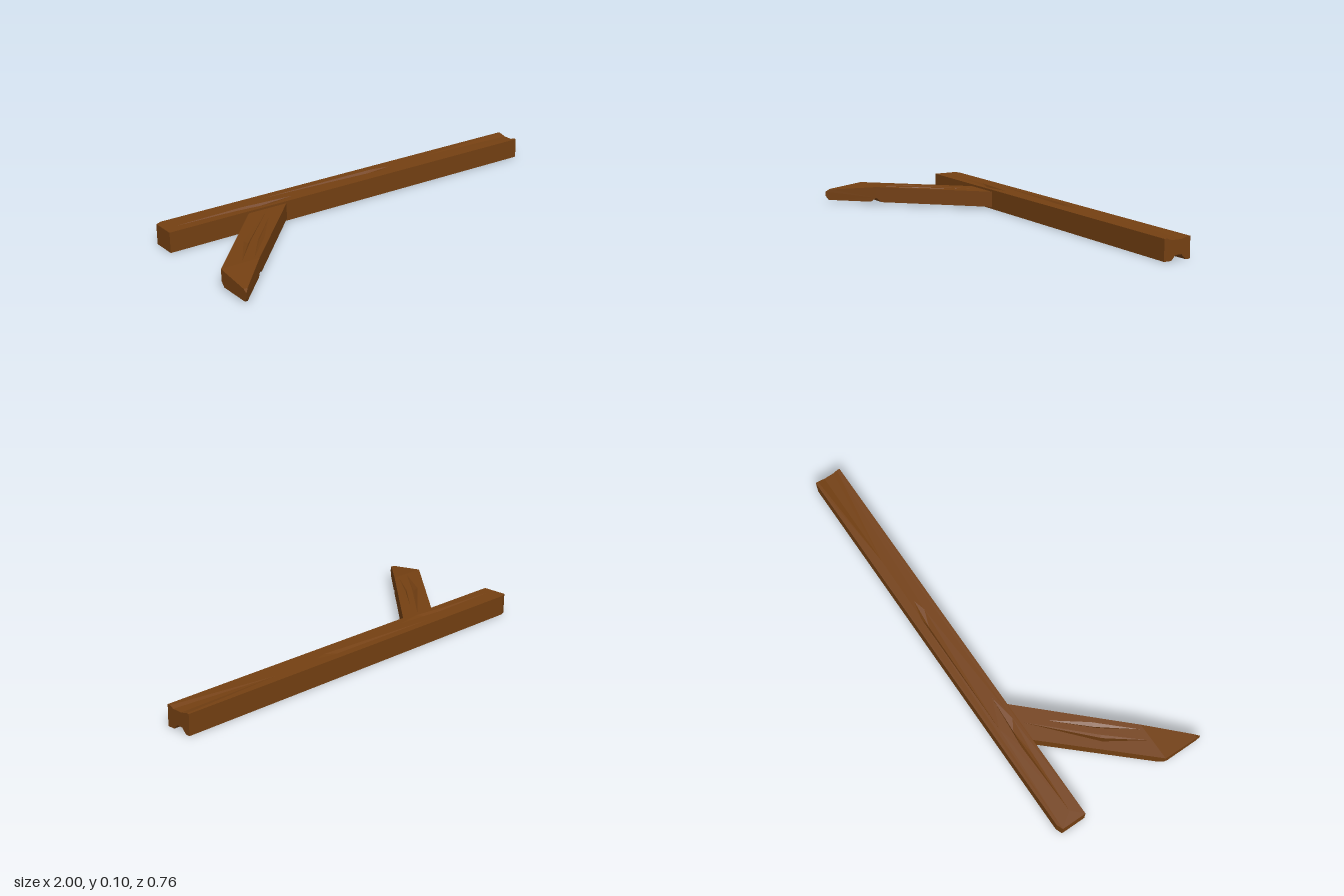
import * as THREE from 'three';

const wood = new THREE.MeshStandardMaterial({ color: 0x744012, roughness: 0.9, flatShading: true, side: THREE.DoubleSide });

function addMesh(group, name, geometry) {
  const mesh = new THREE.Mesh(geometry, wood);
  mesh.name = name;
  group.add(mesh);
}

// Triangles from one corner to each edge of an open chain of points
function fan(apex, chain) {
  const pos = [];
  for (let i = 0; i + 1 < chain.length; i++) pos.push(...apex, ...chain[i], ...chain[i + 1]);
  const g = new THREE.BufferGeometry();
  g.setAttribute('position', new THREE.Float32BufferAttribute(pos, 3));
  g.computeVertexNormals();
  return g;
}

const shapeOf = (pts) => new THREE.Shape(pts.map(([a, b]) => new THREE.Vector2(a, b)));

// Horizontal face with [x, z] outline; each crack sinks to its deepest point
function crackedFace(group, name, outline, y, facing, cracks) {
  const flip = ([x, z]) => [x, -facing * z];
  const shape = shapeOf(outline.map(flip));
  for (const c of cracks) shape.holes.push(new THREE.Path(c.rim.map((p) => new THREE.Vector2(...flip(p)))));
  const g = new THREE.ShapeGeometry(shape);
  g.rotateX(-facing * Math.PI / 2).translate(0, y, 0);
  addMesh(group, name, g);
  for (const { rim, deep, depth } of cracks) {
    const ring = [...rim, rim[0]].map(([x, z]) => [x, y, z]);
    addMesh(group, name + 'Crack', fan([deep[0], y - facing * depth, deep[1]], ring));
  }
}

function makeBeam() {
  const beam = new THREE.Group();
  beam.name = 'beam';
  const H = 0.096, front = -0.25, back = -0.382;
  // Split profiles at the +x end, as [z, y]
  const topSplit = [[-0.265, H], [-0.285, 0.087], [-0.335, 0.087], [-0.37, H]];
  const underSplit = [[-0.36, 0], [-0.338, 0.023], [-0.308, 0.023], [-0.286, 0]];
  const topApex = [0.49, -0.34], underApex = [-0.1, -0.31];

  const outline = (apex, z0, z1) => [
    [-1, front], [1, front], [1, z0], apex, [1, z1], [1, back], [-0.97, back], [-1, -0.37],
  ];
  crackedFace(beam, 'beamTop', outline(topApex, -0.265, -0.37), H, 1, [
    { rim: [[-0.95, -0.3], [-0.6, -0.31], [-0.34, -0.29], [-0.47, -0.268], [-0.65, -0.287]], deep: [-0.52, -0.298], depth: 0.012 },
    { rim: [[-0.48, -0.345], [0.15, -0.345], [0.24, -0.325], [0.18, -0.308], [-0.1, -0.325]], deep: [0.1, -0.336], depth: 0.012 },
  ]);
  crackedFace(beam, 'beamUnderside', outline(underApex, -0.286, -0.36), 0, -1, [
    { rim: [[-0.92, -0.32], [-0.5, -0.35], [-0.16, -0.335], [-0.45, -0.29]], deep: [-0.5, -0.325], depth: 0.015 },
  ]);

  // Tapering splits running in from the end
  for (const [name, apex, y, split] of [['topSplit', topApex, H, topSplit], ['undersideSplit', underApex, 0, underSplit]])
    addMesh(beam, name, fan([apex[0], y, apex[1]], split.map(([z, sy]) => [1, sy, z])));

  // Split end grain
  const end = shapeOf([[front, H], ...topSplit, [back, H], [back, 0], ...underSplit, [front, 0]].map(([z, y]) => [-z, y]));
  addMesh(beam, 'splitEnd', new THREE.ShapeGeometry(end).rotateY(Math.PI / 2).translate(1, 0, 0));

  // Long sides, plain end and its chipped corner
  const walls = [[1, back], [-0.97, back], [-1, -0.37], [-1, front], [1, front]];
  for (let i = 0; i + 1 < walls.length; i++) {
    const [a, b] = [walls[i], walls[i + 1]];
    addMesh(beam, 'beamSide', fan([a[0], 0, a[1]], [[b[0], 0, b[1]], [b[0], H, b[1]], [a[0], H, a[1]]]));
  }
  return beam;
}

function makeBrace() {
  const brace = new THREE.Group();
  brace.name = 'brace';
  const top = 0.086, under = 0.01, root = -0.25, kink = 0.185;
  const outer = (z) => Math.max(-1, -0.6 - (z - root) * 0.92);
  const inner = (z) => Math.max(-1, -0.4 - (z - root) * 0.952);

  // Side faces, split where the brace is cut off upright
  const shaft = [[root, under], [0.165, under], [kink, 0.031], [kink, top], [root, top]];
  const tip = [[kink, 0.031], [0.205, under], [0.367, under], [0.381, 0.03], [0.381, 0.052], [0.36, 0.064], [kink, top]];
  for (const edge of [outer, inner]) {
    for (const profile of [shaft, tip]) {
      const g = new THREE.ShapeGeometry(shapeOf(profile));
      const p = g.attributes.position;
      for (let i = 0; i < p.count; i++) {
        const z = p.getX(i);
        p.setXYZ(i, edge(z), p.getY(i), z);
      }
      g.computeVertexNormals();
      addMesh(brace, 'braceSide', g);
    }
  }

  // Strips across the notch, blunt tip and sloping top
  const strips = [[0.165, under], ...tip];
  for (let i = 0; i + 1 < strips.length; i++) {
    const [[z0, y0], [z1, y1]] = [strips[i], strips[i + 1]];
    addMesh(brace, 'braceTip', fan([outer(z0), y0, z0], [[inner(z0), y0, z0], [inner(z1), y1, z1], [outer(z1), y1, z1]]));
  }

  // Flat top and underside with long cracks
  const flat = (z) => [[outer(z), z], [inner(z), z], [inner(root), root], [outer(root), root]];
  crackedFace(brace, 'braceTop', flat(kink), top, 1, [
    { rim: [[-0.51, -0.24], [-0.78, 0], [-0.89, 0.17], [-0.75, 0.01]], deep: [-0.765, 0.01], depth: 0.012 },
    { rim: [[-0.56, -0.15], [-0.72, 0.02], [-0.83, 0.17], [-0.68, 0.01]], deep: [-0.705, 0.01], depth: 0.006 },
  ]);
  crackedFace(brace, 'braceUnderside', flat(0.165), under, -1, [
    { rim: [[-0.53, -0.22], [-0.75, -0.01], [-0.86, 0.14], [-0.67, 0]], deep: [-0.71, -0.01], depth: 0.012 },
  ]);
  return brace;
}

export function createModel() {
  const model = new THREE.Group();
  model.name = 'forkedTimber';
  model.add(makeBeam(), makeBrace());
  return model;
}
